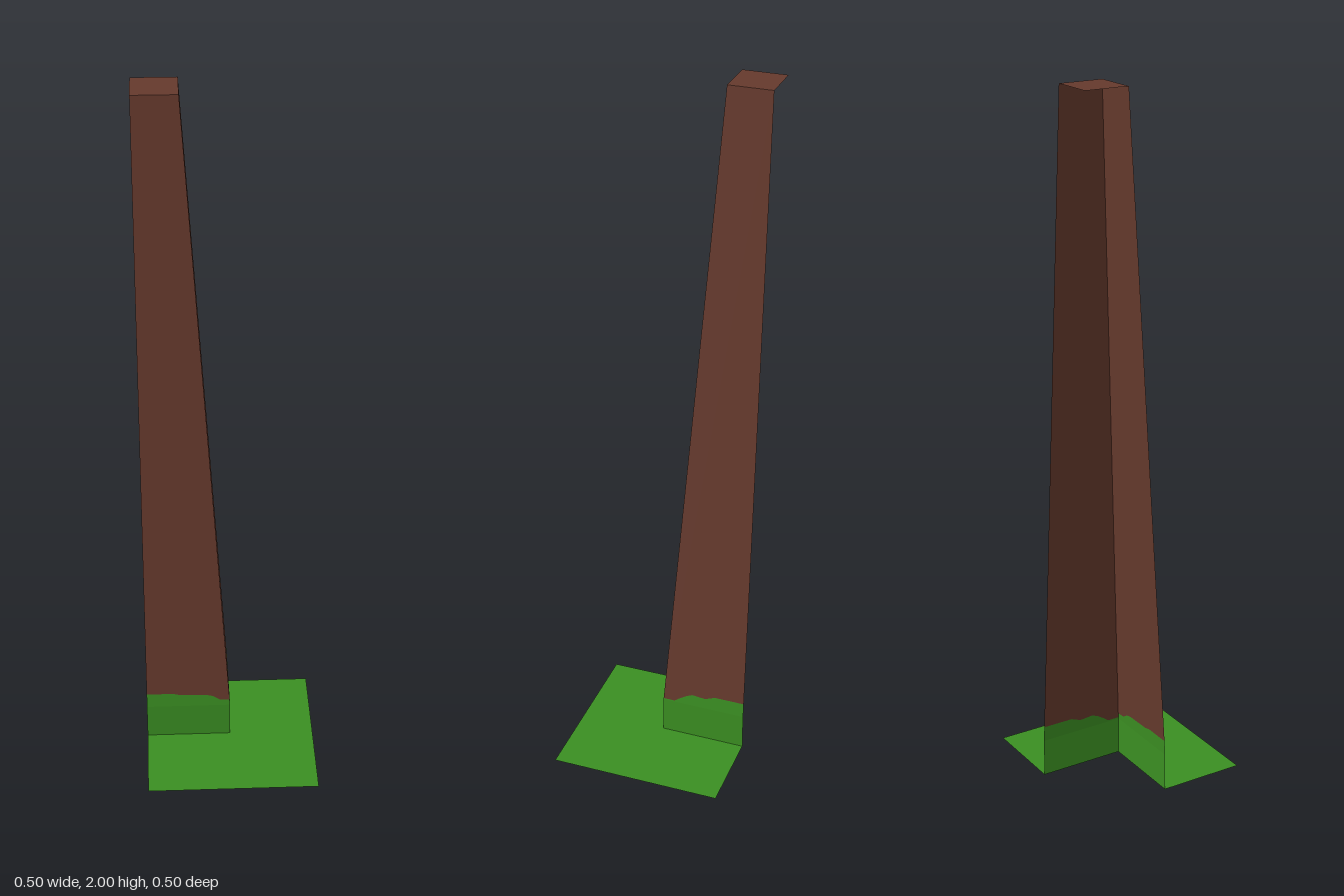
import * as THREE from 'three';

const HALF = 0.25, KINK = 0.11, TOP = 2, TOP_EDGE = -0.125;

// Position of the column's outer face at height y: straight at the foot, then tapering
const edge = (y) => (y <= KINK ? 0 : TOP_EDGE * (y - KINK) / (TOP - KINK));

// Flat ground or cap piece from [x, z] corners
function slab(corners, y) {
  const shape = new THREE.Shape(corners.map(([x, z]) => new THREE.Vector2(x, -z)));
  return new THREE.ShapeGeometry(shape).rotateX(-Math.PI / 2).translate(0, y, 0);
}

// Wall piece from [u, y] corners; u runs along x (front wall) or z (side wall)
function wall(corners, isSide) {
  const sign = isSide ? -1 : 1;
  const shape = new THREE.Shape(corners.map(([u, y]) => new THREE.Vector2(sign * u, y)));
  const geo = new THREE.ShapeGeometry(shape);
  const pos = geo.attributes.position;
  for (let i = 0; i < pos.count; i++) pos.setZ(i, edge(pos.getY(i)));
  geo.computeVertexNormals();
  return isSide ? geo.rotateY(Math.PI / 2) : geo;
}

export function createModel() {
  const bark = new THREE.MeshStandardMaterial({ color: 0x663a2d, side: THREE.DoubleSide });
  bark.name = 'barkBrown';
  const grass = new THREE.MeshStandardMaterial({ color: 0x3b8f22, side: THREE.DoubleSide });
  grass.name = 'grassGreen';

  const model = new THREE.Group();
  model.name = 'cornerTrunk';
  const add = (name, geo, mat) => {
    const mesh = new THREE.Mesh(geo, mat);
    mesh.name = name;
    model.add(mesh);
  };

  // L-shaped ground around the trunk
  add('ground', slab([[-HALF, 0], [-HALF, HALF], [HALF, HALF], [HALF, -HALF], [0, -HALF], [0, 0]], 0), grass);

  // Ragged upper line of the grass on each wall, from the outer end to the corner
  const lines = {
    front: [[-0.25, 0.155], [-0.17, 0.155], [-0.15, 0.15], [-0.07, 0.148], [-0.05, 0.143], [-0.03, 0.13], [0, 0.128]],
    side: [[-0.25, 0.155], [-0.16, 0.155], [-0.13, 0.143], [-0.09, 0.147], [-0.07, 0.138], [-0.05, 0.125], [-0.035, 0.114], [0, 0.114]],
  };
  for (const [name, points] of Object.entries(lines)) {
    const isSide = name === 'side';
    const line = points.map(([u, y]) => [Math.min(u, edge(y)), y]);
    add(name + 'Foot', wall([[-HALF, 0], [0, 0], [0, KINK], [-HALF, KINK]], isSide), grass);
    add(name + 'Grass', wall([...line, [0, KINK], [-HALF, KINK]], isSide), grass);
    add(name + 'Bark', wall([...line, [TOP_EDGE, TOP], [-HALF, TOP]], isSide), bark);
  }

  // Cap over the open-backed trunk
  add('cap', slab([[-HALF, -HALF], [-HALF, TOP_EDGE], [TOP_EDGE, TOP_EDGE], [TOP_EDGE, -HALF]], TOP), bark);
  return model;
}
